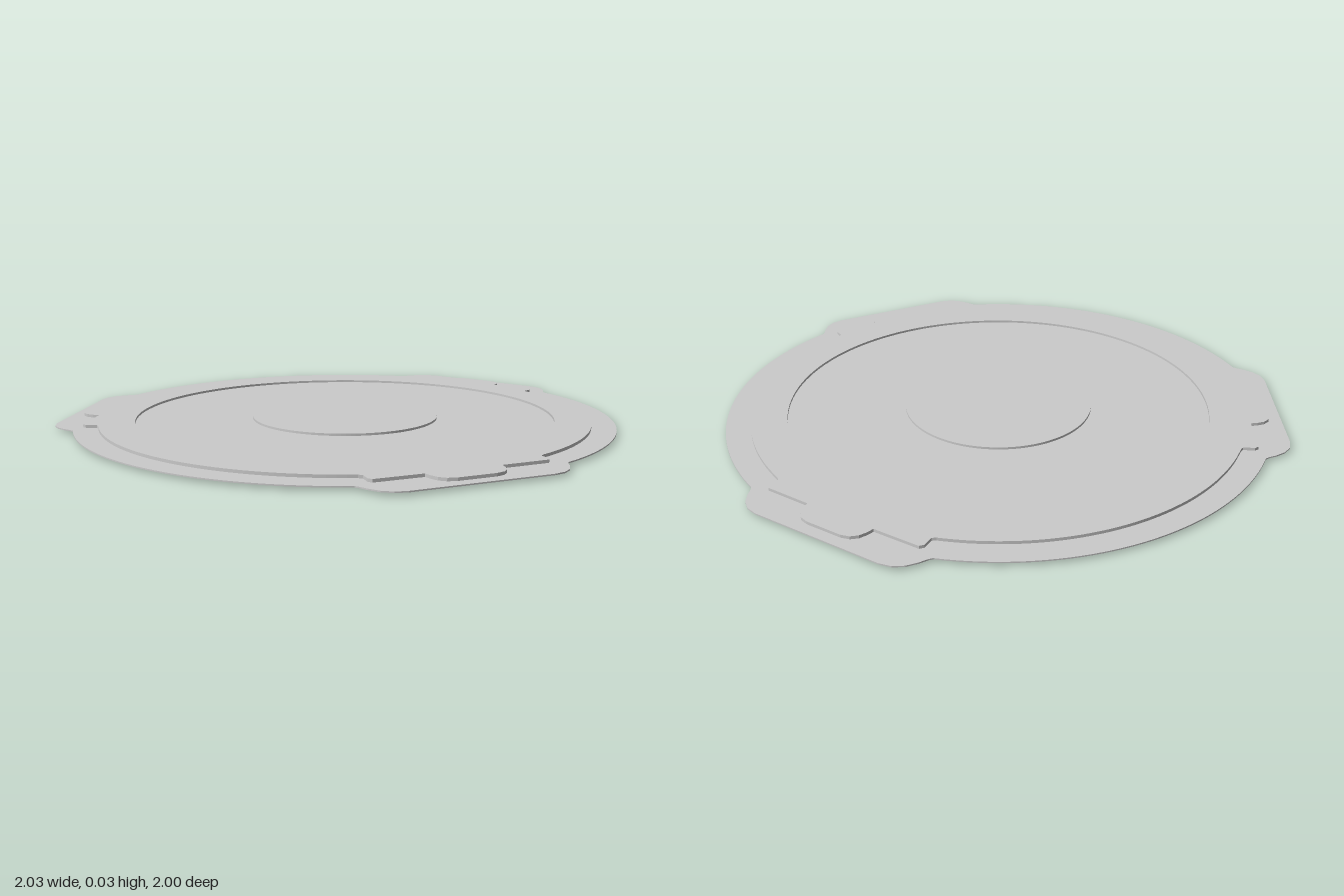
import * as THREE from 'three';

const CZ = -0.018; // centre of the discs along z
const TAU = Math.PI * 2;

// Half profiles of a tab (sideways, outward), from the disc edge to the middle
const OUTER_TAB = [[0.358, 0.912], [0.348, 0.925], [0.335, 0.952], [0.312, 0.985], [0.28, 1.008], [0.24, 1.017]];
const INNER_TAB = [[0.315, 0.836], [0.303, 0.845], [0.306, 0.885], [0.296, 0.898],
  [0.13, 0.9], [0.125, 0.925], [0.115, 0.95], [0.095, 0.969], [0.065, 0.977]];

const mirrored = half => [...half, ...half.slice().reverse().map(([x, v]) => [-x, v])];

// Turn a tab point to the tab's direction around the disc
const turn = ([x, v], a) => new THREE.Vector2(
  x * Math.cos(a) + v * Math.sin(a), -x * Math.sin(a) + v * Math.cos(a));

// Circle outline interrupted by three evenly spaced tabs
function tabbedOutline(r, half) {
  const pts = [];
  const edge = Math.atan2(half[0][0], half[0][1]);
  const n = 40;
  for (let k = 0; k < 3; k++) {
    const a = k * TAU / 3;
    mirrored(half).reverse().forEach(p => pts.push(turn(p, a)));
    for (let i = 1; i < n; i++) {
      pts.push(turn([0, r], a + edge + (TAU / 3 - 2 * edge) * i / n));
    }
  }
  return new THREE.Shape(pts);
}

function circle(r, Type = THREE.Shape) {
  const s = new Type();
  s.absarc(0, 0, r, 0, TAU, false);
  return s;
}

function ring(outer, inner) {
  const s = circle(outer);
  s.holes.push(circle(inner, THREE.Path));
  return s;
}

// Narrow band that follows the edge of a tab
function lipShape(half, width, a) {
  const line = mirrored(half);
  const inner = line.map((p, i) => {
    const q = line[Math.max(i - 1, 0)], s = line[Math.min(i + 1, line.length - 1)];
    const dx = s[0] - q[0], dv = s[1] - q[1], l = Math.hypot(dx, dv);
    return [p[0] + dv / l * width, p[1] - dx / l * width].map((c, j) =>
      j ? Math.min(c, p[1]) : c);
  }).map(([x, v], i) => [Math.abs(x) > Math.abs(line[i][0]) ? line[i][0] : x, v]);
  return new THREE.Shape([...line, ...inner.reverse()].map(p => turn(p, a)));
}

export function createModel() {
  const group = new THREE.Group();
  const material = new THREE.MeshStandardMaterial({ color: 0xcccccc, side: THREE.DoubleSide });

  function plate(name, shape, bottom, top) {
    const geo = new THREE.ExtrudeGeometry(shape, {
      depth: top - bottom, bevelEnabled: false, curveSegments: 64 });
    geo.rotateX(Math.PI / 2);
    const mesh = new THREE.Mesh(geo, material);
    mesh.name = name;
    mesh.position.set(0, top, CZ);
    group.add(mesh);
  }

  // Thin outer flange with three grip tabs
  plate('flange', tabbedOutline(0.98, OUTER_TAB), 0.01, 0.0145);

  // Raised rim around the recessed floor
  const rim = tabbedOutline(0.893, INNER_TAB);
  rim.holes.push(circle(0.765, THREE.Path));
  plate('raisedRim', rim, 0.0145, 0.025);

  // Floor and raised centre
  plate('floor', circle(0.765), 0.006, 0.0165);
  plate('centreDisc', circle(0.34), 0.0165, 0.0245);

  // Sealing ridge underneath
  plate('sealRidge', ring(0.885, 0.842), 0.006, 0.01);

  // Lips below the tabs
  for (let k = 0; k < 3; k++) {
    plate('tabLip', lipShape(INNER_TAB, 0.014, k * TAU / 3), 0, 0.01);
  }
  return group;
}
